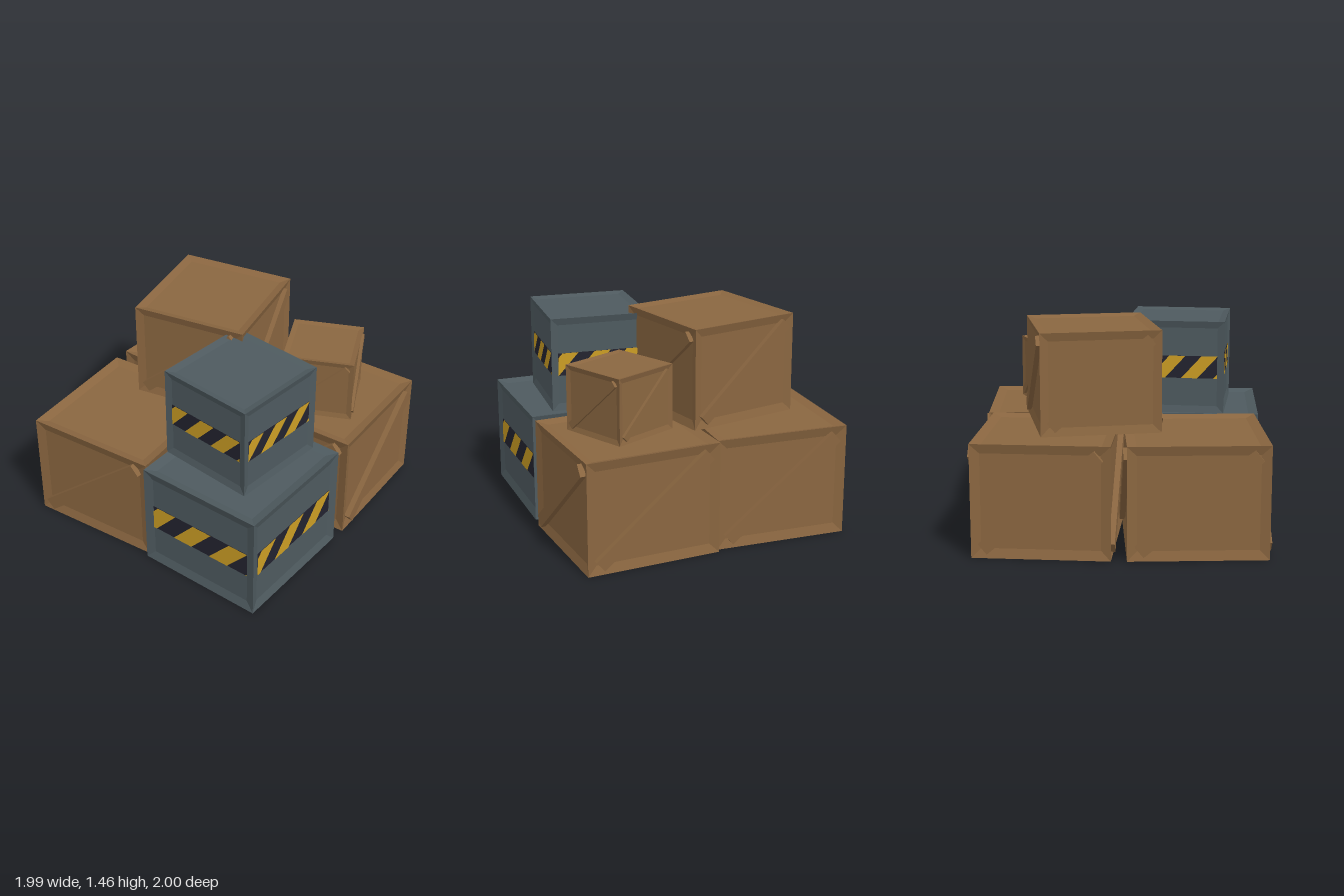
import * as THREE from 'three';

const mat = (name, color) => Object.assign(new THREE.MeshStandardMaterial({ color }), { name });

// One side of a crate: a flat rim edge sloping in to a sunken panel, facing +z
function recessedFace(w, h, inset, depth) {
  const signs = [[-1, -1], [1, -1], [1, 1], [-1, 1]];
  const outer = signs.map(([x, y]) => [x * w / 2, y * h / 2, 0]);
  const inner = signs.map(([x, y]) => [x * (w / 2 - inset), y * (h / 2 - inset), -depth]);
  const pos = [];
  const quad = (a, b, c, d) => [a, b, c, a, c, d].forEach(p => pos.push(...p));
  for (let i = 0; i < 4; i++) {
    const j = (i + 1) % 4;
    quad(outer[i], outer[j], inner[j], inner[i]);
  }
  quad(...inner);
  const geo = new THREE.BufferGeometry();
  geo.setAttribute('position', new THREE.Float32BufferAttribute(pos, 3));
  geo.computeVertexNormals();
  return geo;
}

// Keep the part of a polygon where sign * x <= sign * limit
function clipX(points, limit, sign) {
  const out = [];
  points.forEach((p, i) => {
    const q = points[(i + 1) % points.length];
    const pin = sign * p[0] <= sign * limit, qin = sign * q[0] <= sign * limit;
    if (pin) out.push(p);
    if (pin !== qin) {
      const t = (limit - p[0]) / (q[0] - p[0]);
      out.push([limit, p[1] + t * (q[1] - p[1])]);
    }
  });
  return out;
}

// Slanted bars clipped to a w x h rectangle
function hazardBars(w, h) {
  const period = w * 0.382, bar = period / 2, lean = h * 0.9;
  const shapes = [];
  for (let k = -1; k < 4; k++) {
    const a = -w / 2 + w * 0.05 + k * period;
    let pts = [[a - lean, -h / 2], [a + bar - lean, -h / 2], [a + bar, h / 2], [a, h / 2]];
    pts = clipX(clipX(pts, w / 2, 1), -w / 2, -1);
    if (pts.length > 2) shapes.push(new THREE.Shape(pts.map(p => new THREE.Vector2(...p))));
  }
  return new THREE.ShapeGeometry(shapes);
}

export function createModel() {
  const wood = mat('wood', 0x8a6640);
  const metal = mat('metal', 0x4e5a5f);
  const yellow = mat('hazardYellow', 0xcc9e24);
  const dark = mat('hazardDark', 0x23232f);
  const model = new THREE.Group();
  model.name = 'crateStack';

  const add = (parent, name, geo, material, z = 0) => {
    const mesh = new THREE.Mesh(geo, material);
    mesh.name = name;
    mesh.position.z = z;
    parent.add(mesh);
    return mesh;
  };

  function crate(name, kind, [w, h, d], [x, y, z], degrees) {
    const group = new THREE.Group();
    group.name = name;
    group.position.set(x, y + h / 2, z);
    group.rotation.y = THREE.MathUtils.degToRad(degrees);
    const inset = w * 0.07, depth = w * 0.02;
    const body = kind === 'metal' ? metal : wood;

    // Four sides
    for (let i = 0; i < 4; i++) {
      const fw = i % 2 ? d : w, out = (i % 2 ? w : d) / 2;
      const side = new THREE.Group();
      side.name = 'side';
      side.rotation.y = i * Math.PI / 2;
      group.add(side);
      add(side, 'panel', recessedFace(fw, h, inset, depth), body, out);
      if (kind === 'metal') {
        // Warning band
        const bw = fw - 2 * inset, bh = h * 0.243;
        add(side, 'bandBase', new THREE.PlaneGeometry(bw, bh), dark, out - depth + 0.003);
        add(side, 'bandStripes', hazardBars(bw, bh), yellow, out - depth + 0.006);
      } else {
        // Diagonal brace
        const brace = add(side, 'brace',
          new THREE.BoxGeometry(Math.hypot(fw, h) * 0.83, w * 0.095, w * 0.045), body, out);
        brace.rotation.z = Math.atan2(h, fw);
      }
    }

    // Lid and base
    for (const s of [1, -1]) {
      const end = add(group, s > 0 ? 'lid' : 'base', recessedFace(w, d, inset, depth), body);
      end.position.y = s * h / 2;
      end.rotation.x = -s * Math.PI / 2;
    }
    model.add(group);
  }

  // Bottom layer
  crate('frontRightWoodCrate', 'wood', [0.935, 0.77, 0.935], [-0.484, 0, 0.485], 3);
  crate('backRightWoodCrate', 'wood', [0.925, 0.77, 0.92], [-0.483, 0, -0.491], -3.7);
  crate('backLeftWoodCrate', 'wood', [0.935, 0.77, 0.925], [0.491, 0, -0.505], 1.7);
  crate('frontLeftMetalCrate', 'metal', [0.915, 0.762, 0.945], [0.487, 0, 0.5], -1.9);

  // Top layer
  crate('upperWoodCrate', 'wood', [0.81, 0.69, 0.81], [-0.258, 0.77, -0.205], 10.7);
  crate('smallWoodCrate', 'wood', [0.495, 0.45, 0.495], [0.508, 0.77, -0.443], 23.5);
  crate('upperMetalCrate', 'metal', [0.695, 0.656, 0.695], [0.407, 0.765, 0.405], -6.6);

  return model;
}
